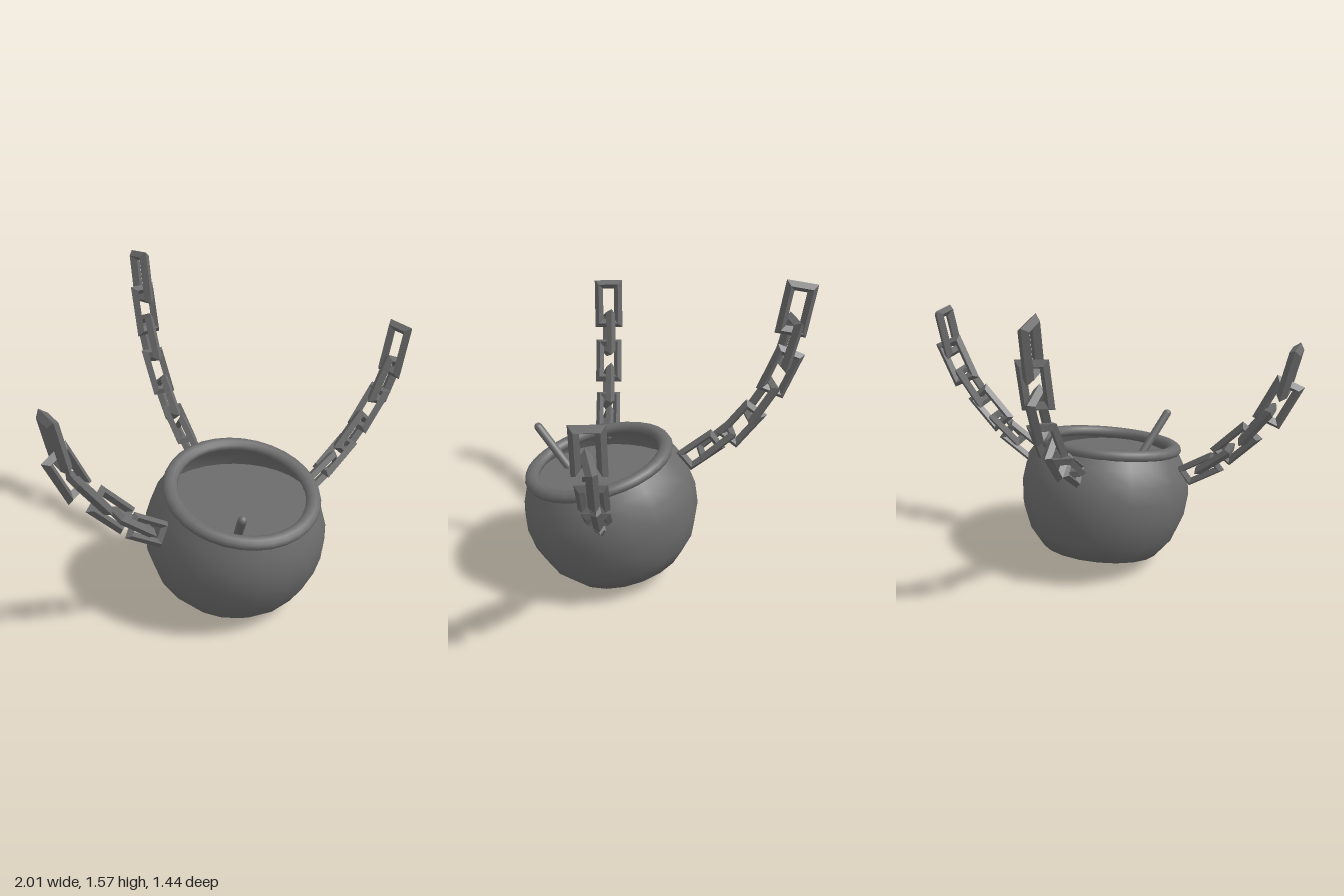
import * as THREE from 'three';

const iron = new THREE.MeshStandardMaterial({ color: 0x6c6c6c, side: THREE.DoubleSide });
const chainIron = new THREE.MeshStandardMaterial({ color: 0x6a6a6a, flatShading: true });

function add(parent, name, geometry, material = iron) {
  const mesh = new THREE.Mesh(geometry, material);
  mesh.name = name;
  parent.add(mesh);
  return mesh;
}

// Rectangular chain link, long in x, whose bars have a diamond cross-section
function linkGeometry(halfLength, halfWidth, bar, depth) {
  const positions = [], index = [];
  for (const [sx, sy] of [[1, 1], [-1, 1], [-1, -1], [1, -1]]) {
    for (const [inset, z] of [[0, 0], [bar / 2, depth / 2], [bar, 0], [bar / 2, -depth / 2]]) {
      positions.push(sx * (halfLength - inset), sy * (halfWidth - inset), z);
    }
  }
  for (let i = 0; i < 4; i++) {
    for (let j = 0; j < 4; j++) {
      const a = i * 4 + j, b = ((i + 1) % 4) * 4 + j;
      const c = ((i + 1) % 4) * 4 + (j + 1) % 4, d = i * 4 + (j + 1) % 4;
      index.push(a, b, c, a, c, d);
    }
  }
  const geometry = new THREE.BufferGeometry();
  geometry.setAttribute('position', new THREE.Float32BufferAttribute(positions, 3));
  geometry.setIndex(index);
  geometry.computeVertexNormals();
  return geometry;
}

// Chain in the xy plane; each link is [x, y, angle in degrees], from the top down.
// Every second link hangs slightly twisted.
function chain(name, links, firstTurned) {
  const group = new THREE.Group();
  group.name = name;
  const geometry = linkGeometry(0.133, 0.077, 0.046, 0.054);
  links.forEach(([x, y, degrees], i) => {
    const turned = (i % 2 === 0) === firstTurned;
    const twist = i % 2 === 1 ? 14 : 0;
    const link = add(group, 'chainLink', geometry, chainIron);
    link.position.set(x, y, 0);
    link.rotation.order = 'ZYX';
    link.rotation.z = THREE.MathUtils.degToRad(degrees);
    link.rotation.x = THREE.MathUtils.degToRad((turned ? 90 : 0) + twist);
    link.scale.setScalar(1 - 0.18 * i / (links.length - 1));
  });
  return group;
}

export function createModel() {
  const model = new THREE.Group();
  model.name = 'hangingCauldron';

  // Pot, leaning forward
  const pot = new THREE.Group();
  pot.name = 'pot';
  pot.position.set(0, 0.071, 0.205);
  pot.rotation.x = THREE.MathUtils.degToRad(13.2);
  model.add(pot);
  const profile = [[0, 0], [0.31, 0], [0.39, 0.1], [0.436, 0.22], [0.448, 0.335],
    [0.434, 0.43], [0.4, 0.505], [0.368, 0.56]].map(([r, y]) => new THREE.Vector2(r, y));
  add(pot, 'potBody', new THREE.LatheGeometry(profile, 20));
  const rim = add(pot, 'rim', new THREE.TorusGeometry(0.349, 0.037, 10, 32));
  rim.rotation.x = Math.PI / 2;
  rim.scale.z = 0.8;
  rim.position.y = 0.572;

  // Level surface of the contents
  const contents = add(model, 'contents', new THREE.CircleGeometry(1, 32));
  contents.rotation.x = -Math.PI / 2;
  contents.scale.set(0.4, 0.393, 1);
  contents.position.set(0, 0.52, 0.267);

  // Stirring stick resting on the rim
  const top = new THREE.Vector3(-0.22, 0.712, 0.66);
  const bottom = new THREE.Vector3(-0.12, 0.495, 0.48);
  const along = top.clone().sub(bottom);
  const stick = add(model, 'stirringStick', new THREE.CapsuleGeometry(0.022, along.length(), 4, 10));
  stick.position.copy(top).add(bottom).multiplyScalar(0.5);
  stick.quaternion.setFromUnitVectors(new THREE.Vector3(0, 1, 0), along.normalize());

  // Two side chains
  const sideLinks = [[0.93, 1.15, 78], [0.885, 0.99, 65], [0.79, 0.86, 54],
    [0.69, 0.74, 47], [0.585, 0.64, 40], [0.51, 0.57, 33]];
  for (const [name, turn] of [['leftChain', 0], ['rightChain', Math.PI]]) {
    const side = chain(name, sideLinks, true);
    side.position.z = 0.313;
    side.rotation.y = turn;
    model.add(side);
  }

  // Back chain
  const backLinks = [[0.62, 1.427, 80], [0.59, 1.26, 76], [0.56, 1.11, 67], [0.47, 0.955, 58],
    [0.38, 0.83, 51], [0.255, 0.735, 41], [0.18, 0.685, 37]];
  const back = chain('backChain', backLinks, false);
  back.rotation.y = Math.PI / 2;
  model.add(back);

  return model;
}
